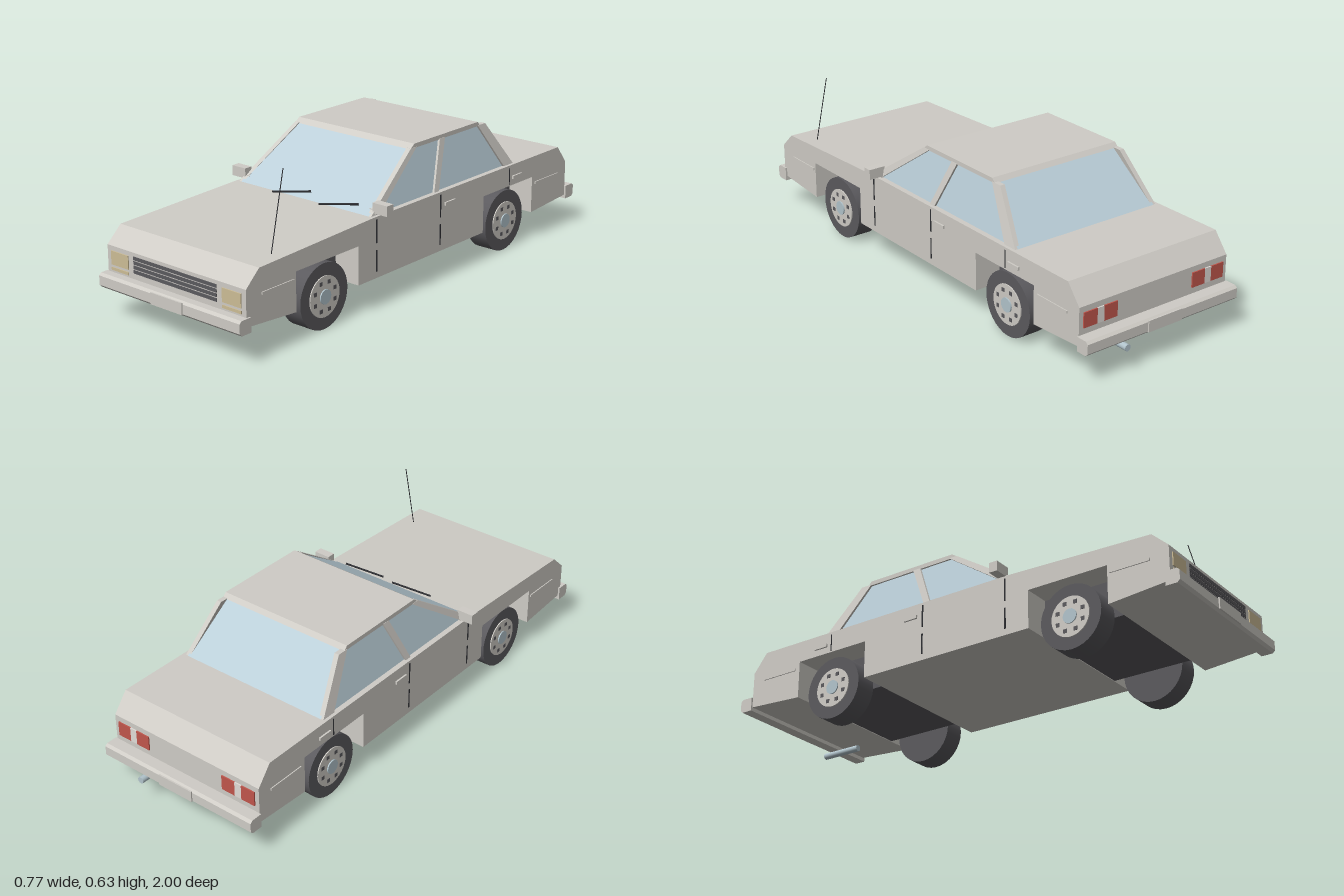
import * as THREE from 'three';

export function createModel() {
  const car = new THREE.Group();
  car.name = 'sedan';
  const mat = (name, color, side = THREE.FrontSide) => {
    const m = new THREE.MeshStandardMaterial({ color, side });
    m.name = name;
    return m;
  };
  const paint = mat('bodyPaint', 0xcfccc6);
  const glass = mat('glass', 0xbbcfd9, THREE.DoubleSide);
  const dark = mat('darkRubber', 0x5b5a5e);
  const black = mat('blackTrim', 0x2e2f33);
  const steel = mat('steel', 0xb2c4cc);
  const lamp = mat('headlampGlass', 0xcdbd96);
  const red = mat('tailLampRed', 0xc0564c);
  const white = mat('reverseLampWhite', 0xe2ddd8);

  const add = (name, geo, m, parent = car) => {
    const mesh = new THREE.Mesh(geo, m);
    mesh.name = name;
    parent.add(mesh);
    return mesh;
  };
  // box given by its lower and upper bounds
  const box = (name, x0, x1, y0, y1, z0, z1, m, parent) =>
    add(name, new THREE.BoxGeometry(x1 - x0, y1 - y0, z1 - z0)
      .translate((x0 + x1) / 2, (y0 + y1) / 2, (z0 + z1) / 2), m, parent);
  // side profile of [z, y] points extruded across x0..x1
  const profile = (pts, x0, x1) => {
    const shape = new THREE.Shape(pts.map(p => new THREE.Vector2(p[0], p[1])));
    return new THREE.ExtrudeGeometry(shape, { depth: x1 - x0, bevelEnabled: false })
      .rotateY(-Math.PI / 2).translate(x1, 0, 0);
  };
  // flat four-cornered pane
  const quad = (name, corners, m) => {
    const g = new THREE.BufferGeometry();
    g.setAttribute('position', new THREE.Float32BufferAttribute(corners.flat(), 3));
    g.setIndex([0, 1, 2, 0, 2, 3]);
    g.computeVertexNormals();
    return add(name, g, m);
  };
  // thin round rod between two points
  const rod = (name, a, b, r, m) => {
    const curve = new THREE.LineCurve3(new THREE.Vector3(...a), new THREE.Vector3(...b));
    return add(name, new THREE.TubeGeometry(curve, 1, r, 6), m);
  };

  // lower body with square wheel openings
  add('body', profile([
    [0.955, 0.14], [0.955, 0.275], [0.89, 0.335], [0.3, 0.355], [-0.88, 0.355], [-0.94, 0.28],
    [-0.94, 0.135], [-0.7, 0.12], [-0.7, 0.27], [-0.37, 0.27], [-0.37, 0.12],
    [0.38, 0.12], [0.38, 0.27], [0.71, 0.27], [0.71, 0.12],
  ], -0.343, 0.343), paint);
  for (const [z0, z1] of [[0.381, 0.709], [-0.699, -0.371]])
    box('wheelWell', -0.235, 0.235, 0.122, 0.269, z0, z1, dark);

  // roof and front and rear windows
  add('roof', profile([[0.022, 0.538], [-0.002, 0.555], [-0.395, 0.555], [-0.41, 0.538]], -0.288, 0.288), paint);
  quad('windscreen', [[-0.32, 0.353, 0.3], [0.32, 0.353, 0.3], [0.28, 0.542, 0.01], [-0.28, 0.542, 0.01]], glass);
  quad('rearWindow', [[0.32, 0.354, -0.582], [-0.32, 0.354, -0.582], [-0.28, 0.542, -0.405], [0.28, 0.542, -0.405]], glass);

  // inward-leaning pillars and side glass
  const lean = y => 0.33 - (y - 0.355) * 0.22;
  const pillars = {
    frontPillar: [[0.298, 0.354], [0.25, 0.354], [-0.015, 0.541], [0.02, 0.541]],
    centrePillar: [[-0.072, 0.354], [-0.1, 0.354], [-0.187, 0.541], [-0.155, 0.541]],
    rearPillar: [[-0.52, 0.354], [-0.58, 0.354], [-0.442, 0.541], [-0.395, 0.541]],
  };
  for (const s of [1, -1]) {
    for (const [name, pts] of Object.entries(pillars)) {
      const g = profile(pts, -0.02, 0);
      const p = g.attributes.position;
      for (let i = 0; i < p.count; i++) p.setX(i, p.getX(i) + lean(p.getY(i)));
      if (s < 0) g.rotateY(Math.PI).scale(1, 1, 1);
      if (s < 0) {
        // turned to the other side: restore the fore-aft direction and the winding
        for (let i = 0; i < p.count; i++) p.setZ(i, -p.getZ(i));
        for (let i = 0; i < p.count; i += 3) {
          const a = [p.getX(i), p.getY(i), p.getZ(i)];
          p.setXYZ(i, p.getX(i + 1), p.getY(i + 1), p.getZ(i + 1));
          p.setXYZ(i + 1, ...a);
        }
      }
      g.computeVertexNormals();
      add(name, g, paint);
    }
    const xb = s * (lean(0.354) - 0.009), xt = s * (lean(0.541) - 0.009);
    const pane = [[xb, 0.354, 0.28], [xb, 0.354, -0.56], [xt, 0.541, -0.42], [xt, 0.541, 0.0]];
    quad('sideWindow', s > 0 ? pane : pane.reverse(), glass);

    // mirrors, handles, side strips and door gaps
    const span = (name, a, b, ...rest) => box(name, Math.min(s * a, s * b), Math.max(s * a, s * b), ...rest);
    span('mirror', 0.318, 0.387, 0.362, 0.402, 0.24, 0.275, paint);
    span('mirrorArm', 0.3, 0.33, 0.354, 0.375, 0.245, 0.27, paint);
    for (const z of [-0.15, -0.59]) span('doorHandle', 0.34, 0.35, 0.296, 0.309, z - 0.03, z + 0.03, paint);
    for (const z of [0.8, -0.8]) span('sideStrip', 0.34, 0.347, 0.236, 0.246, z - 0.08, z + 0.08, paint);
    for (const z of [0.28, -0.095]) {
      span('doorGap', 0.34, 0.3445, 0.145, 0.228, z - 0.003, z + 0.003, black);
      span('doorGap', 0.34, 0.3445, 0.255, 0.345, z - 0.003, z + 0.003, black);
    }
    span('doorGap', 0.34, 0.3445, 0.275, 0.345, -0.542, -0.538, black);

    // front and rear lamps
    span('headlamp', 0.233, 0.322, 0.205, 0.257, 0.952, 0.959, lamp);
    span('turnSignal', 0.234, 0.322, 0.184, 0.195, 0.952, 0.959, lamp);
    span('tailLamp', 0.265, 0.325, 0.2, 0.258, -0.945, -0.937, red);
    span('reverseLamp', 0.235, 0.265, 0.2, 0.258, -0.945, -0.937, white);
    span('tailLamp', 0.175, 0.235, 0.2, 0.258, -0.945, -0.937, red);
  }

  // bumpers and number plates
  for (const s of [1, -1]) {
    const pts = [[0.94, 0.12], [0.985, 0.12], [0.995, 0.13], [0.995, 0.166], [0.985, 0.175], [0.94, 0.175]];
    add('bumper', profile(pts.map(([z, y]) => [s * z, y]), -0.35, 0.35), paint);
    box('numberPlate', -0.078, 0.078, 0.128, 0.172, s > 0 ? 0.994 : -1, s > 0 ? 1 : -0.994, paint);
  }

  // grille slats
  for (let i = 0; i < 4; i++)
    box('grilleSlat', -0.206, 0.206, 0.198 + i * 0.0168, 0.2105 + i * 0.0168, 0.952, 0.958, dark);

  // wheels
  const makeWheel = () => {
    const wheel = new THREE.Group();
    wheel.name = 'wheel';
    const disc = (name, r, x0, x1, m, n = 32) => add(name,
      new THREE.CylinderGeometry(r, r, x1 - x0, n).rotateZ(-Math.PI / 2).translate((x0 + x1) / 2, 0, 0), m, wheel);
    disc('tyre', 0.125, -0.044, 0.044, dark);
    disc('rim', 0.078, 0.04, 0.048, paint);
    disc('hubCap', 0.028, 0.045, 0.053, steel, 16);
    for (let i = 0; i < 8; i++) {
      const a = (i + 0.5) * Math.PI / 4;
      add('rimHole', new THREE.BoxGeometry(0.004, 0.015, 0.015)
        .translate(0.0475, 0.056 * Math.sin(a), 0.056 * Math.cos(a)), dark, wheel);
    }
    return wheel;
  };
  for (const s of [1, -1]) for (const z of [0.547, -0.535]) {
    const wheel = makeWheel();
    wheel.position.set(s * 0.282, 0.125, z);
    if (s < 0) wheel.rotation.y = Math.PI;
    car.add(wheel);
  }

  // wipers, aerial and exhaust
  for (const x of [-0.138, 0.095])
    rod('wiper', [x, 0.358, 0.315], [x + 0.158, 0.381, 0.272], 0.004, black);
  rod('aerial', [0.29, 0.338, 0.775], [0.28, 0.625, 0.7], 0.0018, black);
  add('exhaustPipe', new THREE.CylinderGeometry(0.013, 0.013, 0.175, 16)
    .rotateX(Math.PI / 2).translate(0.173, 0.1, -0.9125), steel);

  return car;
}
